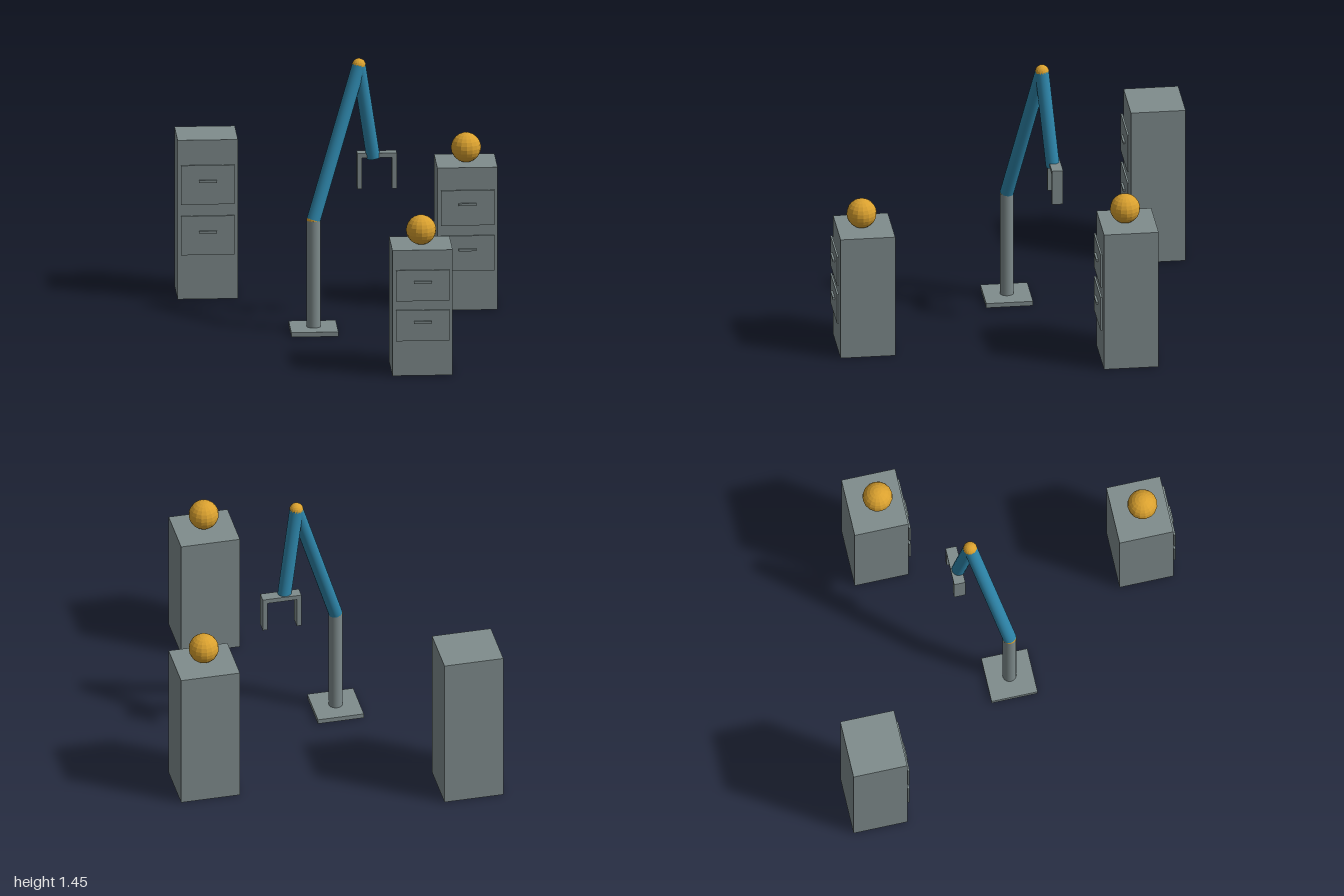
import * as THREE from 'three';

const grey = new THREE.MeshStandardMaterial({ name: 'steelGrey', color: 0x7f8c8d });
const blue = new THREE.MeshStandardMaterial({ name: 'armBlue', color: 0x2e86ab });
const gold = new THREE.MeshStandardMaterial({ name: 'gold', color: 0xdaa12f, flatShading: true });

function add(parent, name, geometry, material, x, y, z) {
  const mesh = new THREE.Mesh(geometry, material);
  mesh.name = name;
  mesh.position.set(x, y, z);
  parent.add(mesh);
  return mesh;
}

const box = (parent, name, w, h, d, x, y, z) =>
  add(parent, name, new THREE.BoxGeometry(w, h, d), grey, x, y, z);

const ball = (parent, name, r, x, y, z) =>
  add(parent, name, new THREE.SphereGeometry(r, 16, 12), gold, x, y, z);

// Round bar between two points
function rod(parent, name, a, b, r, material) {
  const dir = b.clone().sub(a);
  const mid = a.clone().add(b).multiplyScalar(0.5);
  const mesh = add(parent, name, new THREE.CylinderGeometry(r, r, dir.length(), 20),
    material, mid.x, mid.y, mid.z);
  mesh.quaternion.setFromUnitVectors(new THREE.Vector3(0, 1, 0), dir.normalize());
}

// Two-drawer cabinet, placed by its back face
function cabinet(name, x, height, back) {
  const g = new THREE.Group();
  g.name = name;
  g.position.set(x, 0, back);
  box(g, 'cabinetBody', 0.32, height, 0.292, 0, height / 2, 0.146);
  for (const level of [0.722, 0.404]) {
    const y = level * height;
    box(g, 'drawerFront', 0.284, height * 0.245, 0.01, 0, y, 0.304);
    box(g, 'drawerHandle', 0.095, 0.013, 0.012, 0, y + 0.02, 0.314);
  }
  return g;
}

export function createModel() {
  const model = new THREE.Group();
  model.name = 'robotArmWithCabinets';

  // Cabinets, two of them carrying a ball
  const spots = [
    ['tallCabinet', -0.68, 0.87, -1.0, false],
    ['middleCabinet', 0.68, 0.779, -0.687, true],
    ['shortCabinet', 0.362, 0.686, 0.68, true],
  ];
  for (const [name, x, height, back, hasBall] of spots) {
    const c = cabinet(name, x, height, back);
    if (hasBall) ball(c, 'ball', 0.08, 0, height + 0.078, 0.16);
    model.add(c);
  }

  // Robot arm
  const arm = new THREE.Group();
  arm.name = 'robotArm';
  model.add(arm);
  const foot = new THREE.Vector3(-0.16, 0.02, 0);
  const shoulder = new THREE.Vector3(-0.16, 0.607, 0);
  const elbow = new THREE.Vector3(0.09, 1.41, -0.157);
  const wrist = new THREE.Vector3(0.169, 0.892, -0.205);
  box(arm, 'basePlate', 0.25, 0.025, 0.25, -0.16, 0.0125, 0);
  rod(arm, 'column', foot, shoulder, 0.037, grey);
  rod(arm, 'upperArm', shoulder, elbow, 0.037, blue);
  rod(arm, 'forearm', elbow, wrist, 0.037, blue);
  ball(arm, 'shoulderJoint', 0.037, ...shoulder.toArray());
  ball(arm, 'elbowJoint', 0.0375, ...elbow.toArray());

  // Gripper
  const gripper = new THREE.Group();
  gripper.name = 'gripper';
  gripper.position.set(0.188, 0, -0.215);
  arm.add(gripper);
  box(gripper, 'gripperBar', 0.21, 0.025, 0.06, 0, 0.907, 0);
  for (const side of [-1, 1]) {
    box(gripper, 'gripperFinger', 0.025, 0.17, 0.06, side * 0.0925, 0.811, 0);
  }

  return model;
}
